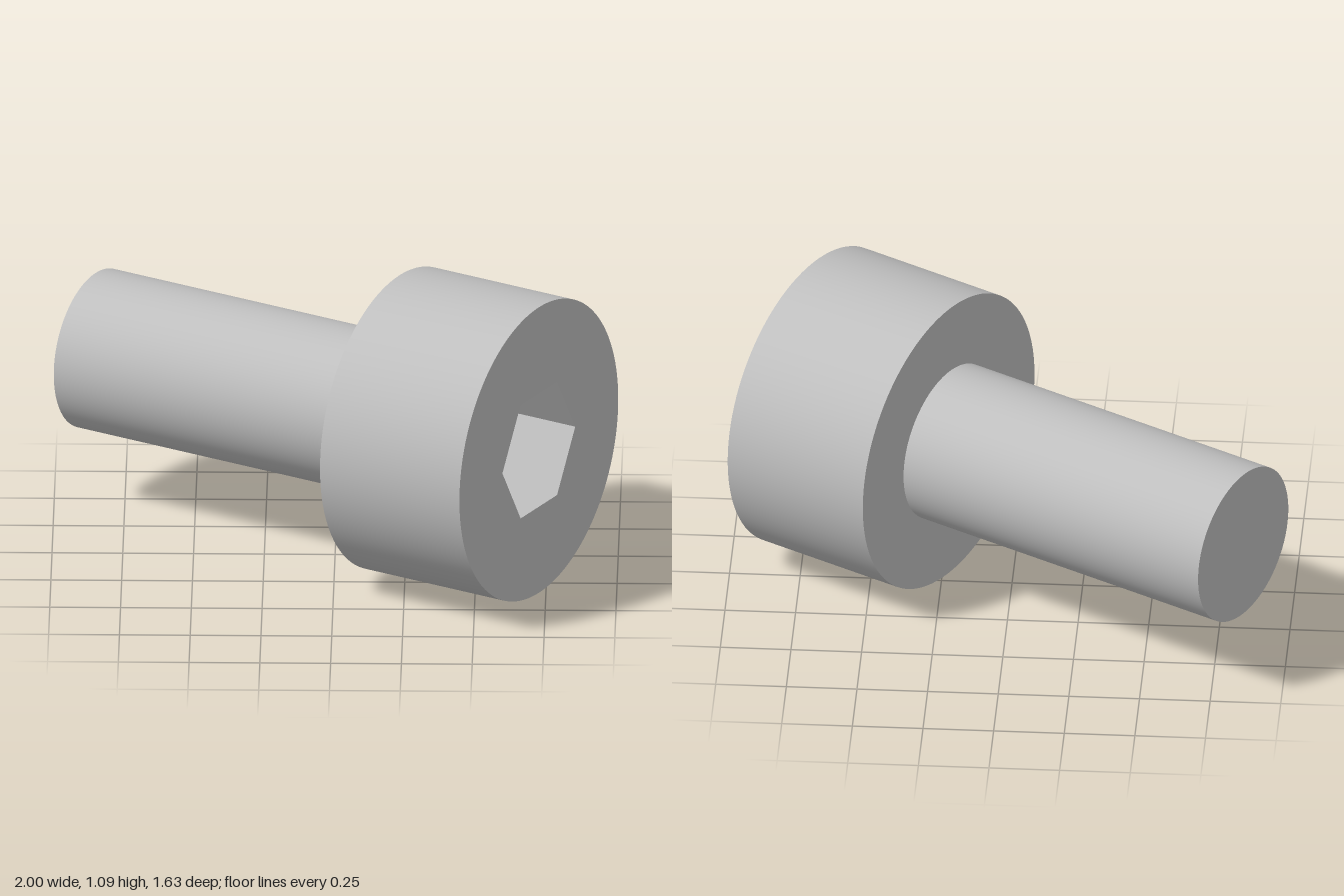
import * as THREE from 'three';
import { toCreasedNormals } from 'three/addons/utils/BufferGeometryUtils.js';

const HEAD_R = 0.546, HEAD_L = 0.574;
const SHAFT_R = 0.287, SHAFT_L = 1.251;
const HEX_R = 0.2505, HEX_DEPTH = 0.287;

export function createModel() {
  const steel = new THREE.MeshStandardMaterial({ color: 0xc0c0c0 });
  steel.name = 'steel';

  // The screw lies along local z, with the head's outer face at z = 0
  const screw = new THREE.Group();
  screw.name = 'socketHeadScrew';

  const add = (name, geometry) => {
    const mesh = new THREE.Mesh(geometry, steel);
    mesh.name = name;
    screw.add(mesh);
  };

  // Turned part: profile of [radius, z] pairs
  const turned = (profile, sides) => {
    const points = profile.map(([r, z]) => new THREE.Vector2(r, z));
    const geometry = new THREE.LatheGeometry(points, sides, Math.PI / 2);
    return toCreasedNormals(geometry.rotateX(Math.PI / 2), 0.5);
  };

  // Plain shaft with a flat end
  const shaftEnd = -HEAD_L - SHAFT_L;
  add('shaft', turned([[0, shaftEnd], [SHAFT_R, shaftEnd], [SHAFT_R, -HEAD_L]], 96));

  // Underside and side wall of the head
  add('head', turned([[SHAFT_R, -HEAD_L], [HEAD_R, -HEAD_L], [HEAD_R, 0]], 96));

  // Outer face of the head with its hexagonal opening
  const face = new THREE.Shape().absarc(0, 0, HEAD_R, 0, Math.PI * 2, false);
  const corners = Array.from({ length: 6 }, (_, i) => {
    const a = (i * Math.PI) / 3;
    return new THREE.Vector2(HEX_R * Math.cos(a), HEX_R * Math.sin(a));
  });
  face.holes.push(new THREE.Path(corners));
  add('headFace', new THREE.ShapeGeometry(face, 96));

  // Inward-facing walls and floor of the hex socket
  add('hexSocket', turned([[HEX_R, 0], [HEX_R, -HEX_DEPTH], [0, -HEX_DEPTH]], 6));

  // Lay the screw down, head turned to the front left
  screw.rotation.y = Math.PI / 3;
  screw.position.set(0.725, HEAD_R, 0.34);

  const model = new THREE.Group();
  model.name = 'screw';
  model.add(screw);
  return model;
}
